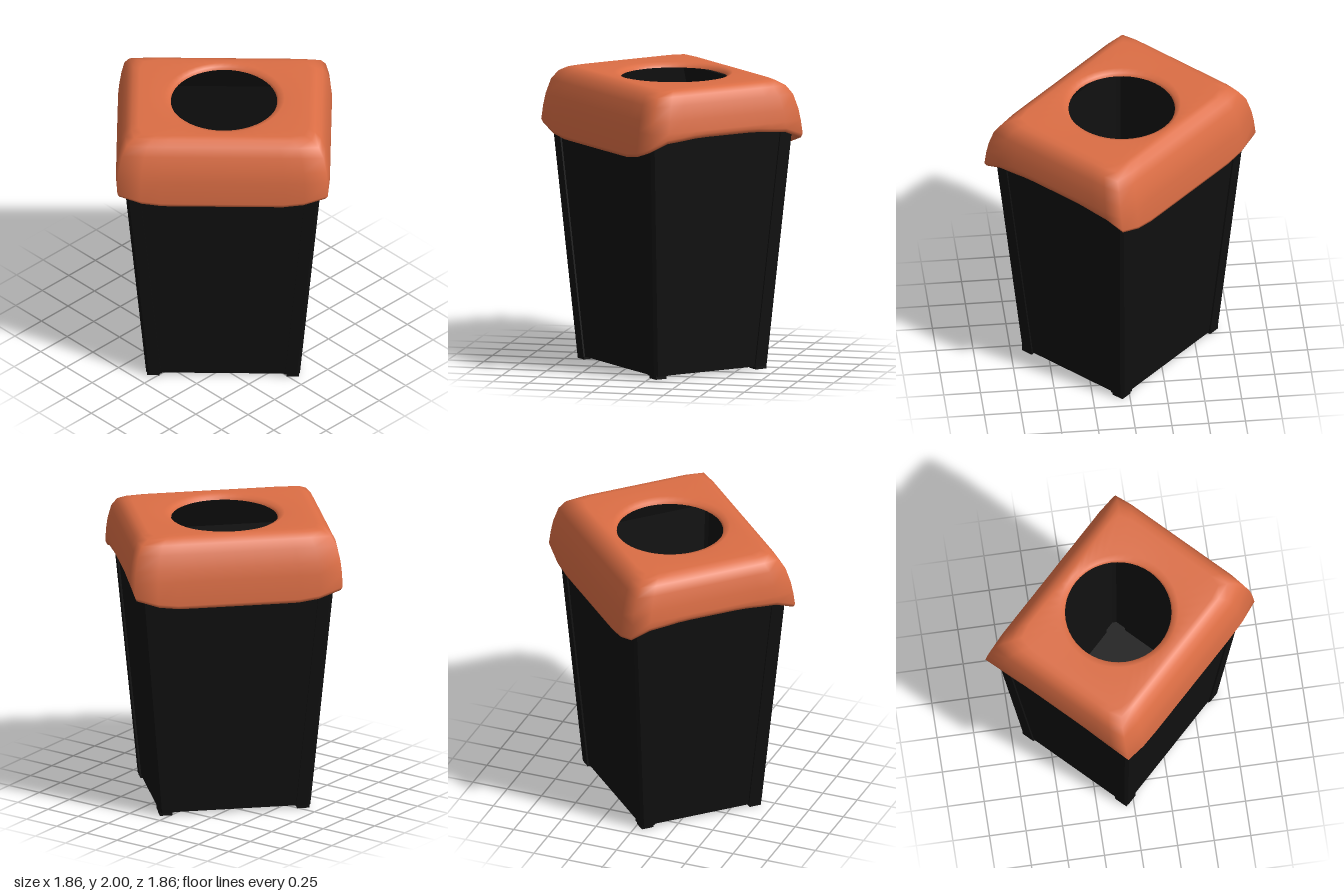
import * as THREE from 'three';

// Skin a list of closed rings (each an array of [x, y, z]) into one surface
function loft(rings, flat) {
  const n = rings[0].length, index = [];
  for (let r = 0; r < rings.length - 1; r++) {
    for (let i = 0; i < n; i++) {
      const j = (i + 1) % n, a = r * n, b = a + n;
      index.push(a + i, b + i, a + j, b + i, b + j, a + j);
    }
  }
  let geo = new THREE.BufferGeometry();
  geo.setAttribute('position', new THREE.Float32BufferAttribute(rings.flat(2), 3));
  geo.setIndex(index);
  if (flat) geo = geo.toNonIndexed();
  geo.computeVertexNormals();
  return geo;
}

// Rectangular section with corner posts and slightly recessed panels
function bodyRing(y, U, V, scale = 1) {
  const a = 0.1, e = 0.012, c = 0.02;
  const quarter = [[U - e, V - a], [U, V - a], [U, V - c], [U - c, V], [U - a, V], [U - a, V - e]];
  const ring = [];
  [[1, 1], [-1, 1], [-1, -1], [1, -1]].forEach(([sx, sz], k) => {
    const pts = k % 2 ? [...quarter].reverse() : quarter;
    pts.forEach(([x, z]) => ring.push([x * sx * scale, y, z * sz * scale]));
  });
  return ring;
}

// Rounded section: power 2 is an ellipse, a high power is a tight-cornered rectangle.
// y may be a function of the position on the unit square.
function lidRing(y, U, V, power = 40, dz = 0) {
  const ring = [], count = 48;
  for (let i = 0; i < count; i++) {
    const t = (i / count) * Math.PI * 2;
    const c = Math.cos(t), s = Math.sin(t), m = Math.max(Math.abs(c), Math.abs(s));
    const p = c / m, q = s / m;
    const k = (Math.abs(p) ** power + Math.abs(q) ** power) ** (-1 / power);
    ring.push([p * k * U, typeof y === 'function' ? y(Math.abs(p), Math.abs(q)) : y, q * k * V + dz]);
  }
  return ring;
}

// Lower lid edge: deep flaps on the wide sides, shallow skirts on the narrow ones
function lidEdge(p, q) {
  if (p > 0.999 && q > 0.999) return 1.6;
  if (q > 0.999) return 1.53 + 0.02 * THREE.MathUtils.smoothstep(p, 0.55, 0.8);
  return 1.672 - 0.022 * THREE.MathUtils.smoothstep(q, 0.3, 0.8);
}

export function createModel() {
  const group = new THREE.Group();
  group.name = 'wasteBin';
  const black = new THREE.MeshStandardMaterial({ color: 0x101010 });
  const orange = new THREE.MeshStandardMaterial({ color: 0xdc6e45, side: THREE.DoubleSide });
  const add = (name, geo, mat) => {
    const mesh = new THREE.Mesh(geo, mat);
    mesh.name = name;
    group.add(mesh);
    return mesh;
  };

  // Tapered hollow body: underside, outer wall, rim, inner wall, floor
  add('body', loft([
    bodyRing(0.02, 0.52, 0.445, 0),
    bodyRing(0.02, 0.52, 0.445),
    bodyRing(1.75, 0.673, 0.566),
    bodyRing(1.92, 0.645, 0.505),
    bodyRing(1.92, 0.62, 0.48),
    bodyRing(1.72, 0.645, 0.538),
    bodyRing(0.05, 0.495, 0.42),
    bodyRing(0.05, 0.495, 0.42, 0),
  ], true), black);

  // Feet under the corner posts
  const foot = 0.085;
  for (const sx of [-1, 1]) for (const sz of [-1, 1]) {
    const mesh = add('foot', new THREE.BoxGeometry(foot, 0.03, foot), black);
    mesh.position.set(sx * (0.513 - foot / 2), 0.015, sz * (0.438 - foot / 2));
  }

  // Lid: inner lip, flaps and skirts, domed shoulders, flat top, round opening
  add('lid', loft([
    lidRing((p, q) => lidEdge(p, q) + 0.03, 0.685, 0.58),
    lidRing(lidEdge, 0.712, 0.605),
    lidRing((p, q) => lidEdge(p, q) + 0.025, 0.724, 0.614),
    lidRing(1.72, 0.722, 0.6),
    lidRing(1.8, 0.714, 0.585),
    lidRing(1.9, 0.693, 0.555),
    lidRing(1.96, 0.663, 0.518, 30),
    lidRing(1.99, 0.62, 0.475, 20),
    lidRing(2.0, 0.575, 0.44, 14),
    lidRing(1.998, 0.41, 0.4, 2, -0.01),
    lidRing(1.985, 0.37, 0.37, 2, -0.015),
    lidRing(1.965, 0.36, 0.36, 2, -0.015),
  ]), orange);

  // The bin stands with a corner towards the front
  group.rotation.y = -Math.PI / 4;
  const model = new THREE.Group();
  model.name = 'model';
  model.add(group);
  return model;
}
